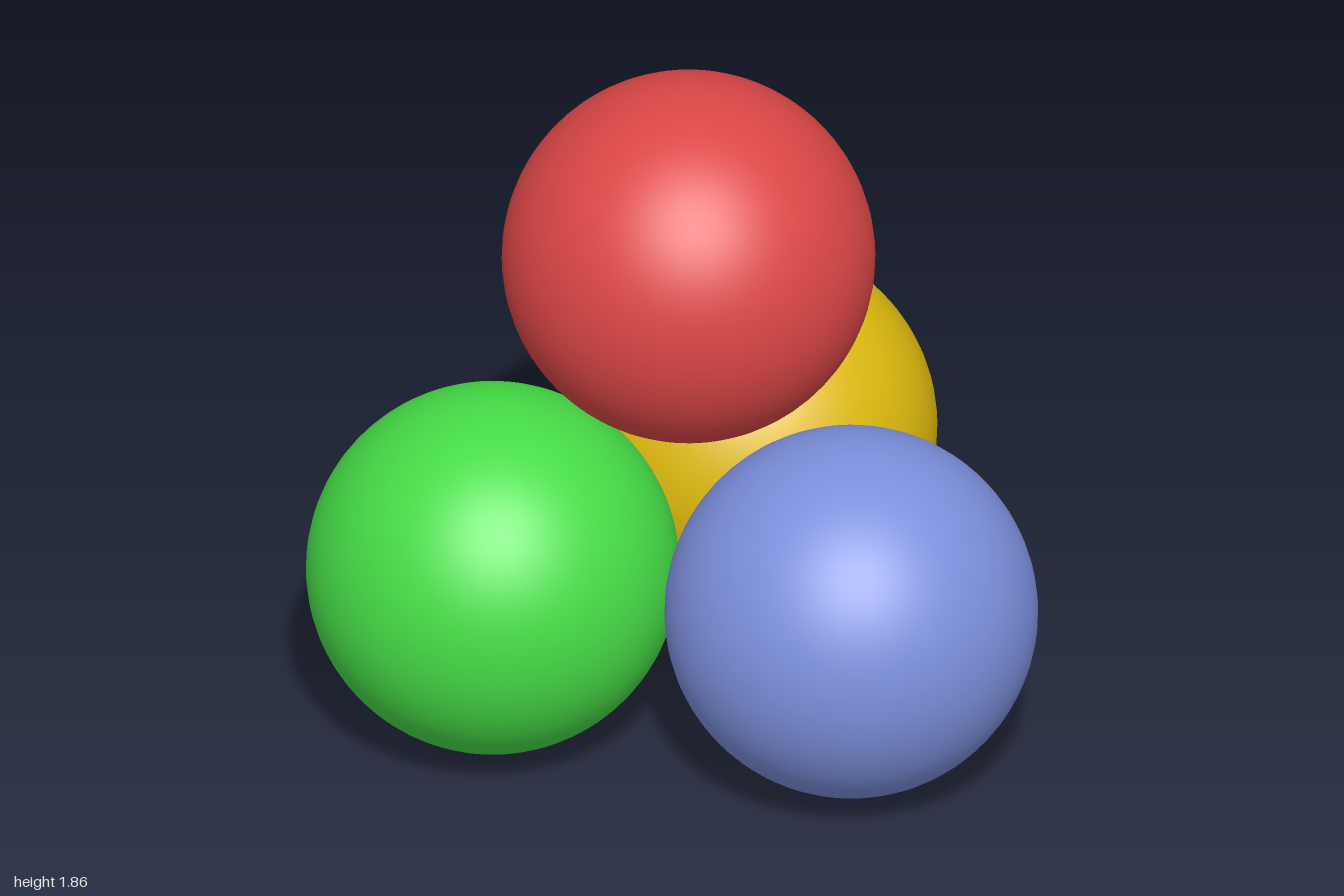
import * as THREE from 'three';

const RADIUS = 0.5;

function colour(name, hex) {
  const material = new THREE.MeshStandardMaterial({ color: hex });
  material.name = name;
  return material;
}

export function createModel() {
  const group = new THREE.Group();
  group.name = 'ballPyramid';
  const geometry = new THREE.SphereGeometry(RADIUS, 64, 40);

  // Three balls on the ground and one resting on top
  const balls = [
    ['frontBall', colour('green', 0x46dc46), [-0.424, RADIUS, 0.5]],
    ['backBall', colour('gold', 0xdcb80e), [-0.424, RADIUS, -0.5]],
    ['sideBall', colour('blue', 0x7b8fdc), [0.424, RADIUS, 0]],
    ['topBall', colour('red', 0xdc4646), [-0.177, 1.361, 0]],
  ];
  for (const [name, material, position] of balls) {
    const ball = new THREE.Mesh(geometry, material);
    ball.name = name;
    ball.position.set(...position);
    group.add(ball);
  }
  return group;
}
